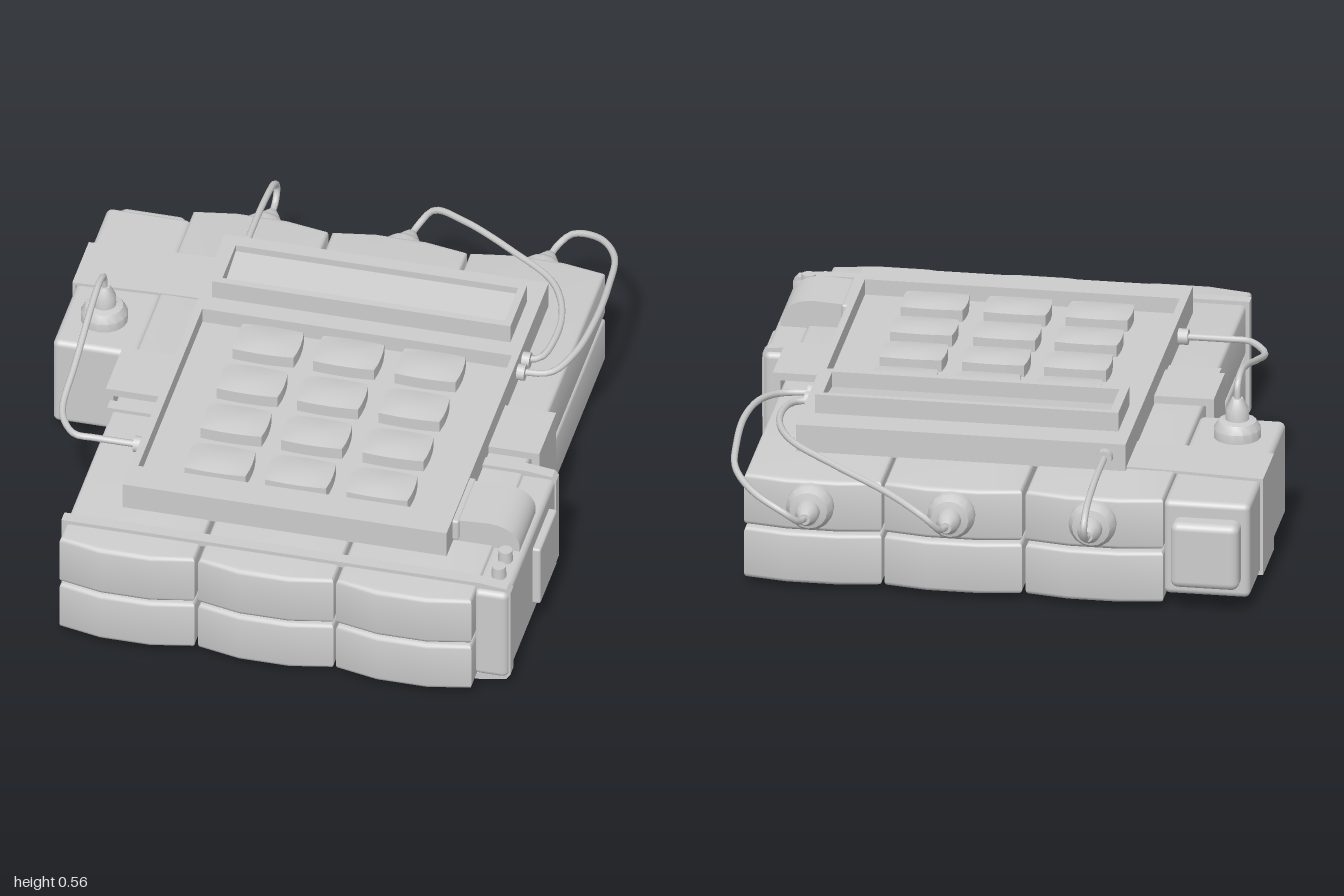
import * as THREE from 'three';
import { toCreasedNormals } from 'three/addons/utils/BufferGeometryUtils.js';
import { RoundedBoxGeometry } from 'three/addons/geometries/RoundedBoxGeometry.js';

const grey = new THREE.MeshStandardMaterial({ color: 0xcccccc, side: THREE.DoubleSide });

export function createModel() {
  const root = new THREE.Group();

  const add = (name, geo) => {
    const mesh = new THREE.Mesh(geo, grey);
    mesh.name = name;
    root.add(mesh);
    return mesh;
  };

  // Box given by its limits, with optional rounded edges
  const block = (name, x0, x1, y0, y1, z0, z1, r = 0) => {
    const size = [x1 - x0, y1 - y0, z1 - z0];
    const geo = r ? new RoundedBoxGeometry(...size, 3, r) : new THREE.BoxGeometry(...size);
    geo.translate((x0 + x1) / 2, (y0 + y1) / 2, (z0 + z1) / 2);
    return add(name, geo);
  };

  const points = (list) => list.map(([x, y]) => new THREE.Vector2(x, y));

  // Rectangular frame lying flat: outer and inner limits are [x0, x1, z0, z1]
  const rect = ([x0, x1, z0, z1]) => points([[x0, -z1], [x1, -z1], [x1, -z0], [x0, -z0]]);
  const frame = (name, outer, inner, y0, y1) => {
    const shape = new THREE.Shape(rect(outer));
    shape.holes.push(new THREE.Path(rect(inner)));
    const geo = new THREE.ExtrudeGeometry(shape, { depth: y1 - y0, bevelEnabled: false });
    return add(name, geo.rotateX(-Math.PI / 2).translate(0, y0, 0));
  };

  // Band around a convex outline in x, y
  const band = (name, outline, z0, z1, t) => {
    const shape = new THREE.Shape(points(outline));
    const cx = outline.reduce((s, p) => s + p[0], 0) / outline.length;
    shape.holes.push(new THREE.Path(points(outline.map(([x, y]) =>
      [x - t * Math.sign(x - cx), y - t * Math.sign(y - 0.19)]))));
    const geo = new THREE.ExtrudeGeometry(shape, { depth: z1 - z0, bevelEnabled: false });
    return add(name, geo.translate(0, 0, z0));
  };

  const wire = (name, list) => {
    const curve = new THREE.CatmullRomCurve3(list.map((p) => new THREE.Vector3(...p)), false, 'centripetal');
    return add(name, new THREE.TubeGeometry(curve, 48, 0.011, 8));
  };

  // Stepped plug, standing on its base
  const plug = (name) => {
    const profile = points([[0, 0], [0.075, 0], [0.075, 0.035], [0.06, 0.06], [0.038, 0.065],
      [0.036, 0.1], [0.018, 0.135], [0, 0.135]]);
    return add(name, toCreasedNormals(new THREE.LatheGeometry(profile, 16), 0.6));
  };

  // Bricks: three columns, two layers, ends slightly bulged
  const b = 0.014;
  for (const x of [-0.375, 0.075, 0.522]) {
    for (const y of [0.02, 0.2]) {
      const w = 0.219 - b, zEnd = 1 - b, zBack = 0.8 - b;
      const outline = points([[-w, -zEnd + 0.027], [-0.08, -zEnd], [0.08, -zEnd], [w, -zEnd + 0.027],
        [w, zBack - 0.022], [0.08, zBack], [-0.08, zBack], [-w, zBack - 0.022]]);
      const geo = new THREE.ExtrudeGeometry(new THREE.Shape(outline),
        { depth: 0.172 - 2 * b, bevelThickness: b, bevelSize: b, bevelSegments: 3 });
      geo.rotateX(-Math.PI / 2).translate(x, y + b, 0);
      add('brick', toCreasedNormals(geo, 0.7));
    }
  }

  // Wide strap and two thin bands
  band('wideStrap', [[-0.63, 0], [0.775, 0], [0.775, 0.4], [-0.63, 0.4]], 0, 0.22, 0.025);
  for (const z of [0.275, 0.872]) {
    band('thinBand', [[-0.607, 0.01], [0.75, 0.005], [0.835, 0.02], [0.848, 0.04], [0.848, 0.36],
      [0.835, 0.375], [0.75, 0.385], [-0.607, 0.385]], z - 0.02, z + 0.02, 0.02);
  }

  // Control panel with keypad recess
  frame('panelBody', [-0.44, 0.61, -0.565, 0.765], [-0.415, 0.588, -0.175, 0.66], 0.37, 0.462);
  block('keypadFloor', -0.43, 0.6, 0.38, 0.41, -0.18, 0.67);
  for (const x of [-0.178, 0.083, 0.347]) {
    for (const z of [-0.08, 0.13, 0.34, 0.55]) {
      const key = new THREE.BoxGeometry(0.21, 0.055, 0.145, 6, 2, 4);
      const pos = key.attributes.position;
      for (let i = 0; i < pos.count; i++) {
        const u = pos.getX(i) / 0.105, v = pos.getZ(i) / 0.0725;
        pos.setX(i, pos.getX(i) * (1 - 0.06 * v * v));
        pos.setZ(i, pos.getZ(i) * (1 - 0.08 * u * u));
        if (pos.getY(i) > 0.02) pos.setY(i, 0.0275 - 0.01 * Math.max(u * u, v * v));
      }
      key.computeVertexNormals();
      add('key', key.translate(x, 0.432, z));
    }
  }

  // Raised screen surround with a tilted screen
  frame('screenSurround', [-0.4, 0.567, -0.46, -0.24], [-0.372, 0.543, -0.438, -0.265], 0.46, 0.525);
  const screen = add('screen', new THREE.BoxGeometry(0.92, 0.012, 0.178));
  screen.position.set(0.085, 0.482, -0.352);
  screen.rotation.x = 0.16;

  // Left side pack with end cap, tape and upright plug
  block('sidePack', -0.865, -0.59, 0.04, 0.357, -0.75, -0.03, 0.02);
  block('sidePackCap', -0.84, -0.622, 0.09, 0.31, -0.825, -0.74, 0.025);
  band('sidePackTape', [[-0.875, 0.04], [-0.62, 0.008], [-0.43, 0.008], [-0.43, 0.38],
    [-0.62, 0.375], [-0.875, 0.365]], -0.545, -0.33, 0.01);
  plug('uprightPlug').position.set(-0.735, 0.352, -0.185);
  wire('sideWire', [[-0.735, 0.47, -0.185], [-0.735, 0.53, -0.175], [-0.735, 0.548, -0.12],
    [-0.735, 0.53, -0.02], [-0.735, 0.46, 0.2], [-0.735, 0.415, 0.36], [-0.715, 0.408, 0.42],
    [-0.665, 0.407, 0.48], [-0.6, 0.407, 0.483], [-0.45, 0.407, 0.483]]);

  // Right side pack with plate, tape and buttons
  block('rightPack', 0.73, 0.843, 0.035, 0.365, 0.24, 0.91, 0.02);
  block('rightPlate', 0.83, 0.868, 0.09, 0.305, 0.36, 0.58, 0.008);
  const tape = new THREE.Shape(points([[0.6, 0.37], [0.825, 0.355], [0.825, 0.385]]));
  tape.bezierCurveTo(0.82, 0.43, 0.78, 0.457, 0.72, 0.457);
  tape.lineTo(0.6, 0.45);
  const tapeGeo = new THREE.ExtrudeGeometry(tape, { depth: 0.21, bevelEnabled: false });
  add('rightTape', toCreasedNormals(tapeGeo.translate(0, 0, 0.468), 0.6));
  block('tapeEdge', 0.605, 0.63, 0.38, 0.455, 0.455, 0.69, 0.008);
  for (const z of [0.73, 0.815]) {
    add('button', new THREE.CylinderGeometry(0.022, 0.025, 0.07, 14).translate(0.792, 0.37, z));
  }

  // Rear plugs and their wires
  for (const x of [-0.375, 0.075, 0.525]) {
    const p = plug('rearPlug');
    p.position.set(x, 0.29, -0.79);
    p.rotation.x = -Math.PI / 2;
  }
  wire('rearWireA', [[-0.375, 0.29, -0.91], [-0.375, 0.3, -0.965], [-0.375, 0.345, -0.988],
    [-0.375, 0.385, -0.95], [-0.375, 0.415, -0.8], [-0.375, 0.42, -0.56]]);
  wire('rearWireB', [[0.075, 0.29, -0.91], [0.09, 0.3, -0.965], [0.13, 0.345, -0.988],
    [0.25, 0.385, -0.91], [0.45, 0.41, -0.76], [0.61, 0.425, -0.62], [0.675, 0.425, -0.48],
    [0.685, 0.42, -0.34], [0.66, 0.41, -0.25], [0.6, 0.41, -0.23]]);
  wire('rearWireC', [[0.525, 0.29, -0.91], [0.54, 0.3, -0.965], [0.58, 0.335, -0.988],
    [0.68, 0.375, -0.94], [0.76, 0.405, -0.82], [0.785, 0.425, -0.65], [0.79, 0.435, -0.45],
    [0.765, 0.425, -0.28], [0.71, 0.41, -0.185], [0.6, 0.41, -0.165]]);

  // Sockets where wires enter the panel
  const socket = (x, y, z, alongX) => {
    const geo = new THREE.CylinderGeometry(0.026, 0.026, 0.04, 14);
    if (alongX) geo.rotateZ(Math.PI / 2); else geo.rotateX(Math.PI / 2);
    add('wireSocket', geo.translate(x, y, z));
  };
  socket(0.615, 0.41, -0.165, true);
  socket(0.615, 0.41, -0.23, true);
  socket(-0.452, 0.407, 0.483, true);
  socket(-0.375, 0.42, -0.573, false);

  return root;
}
